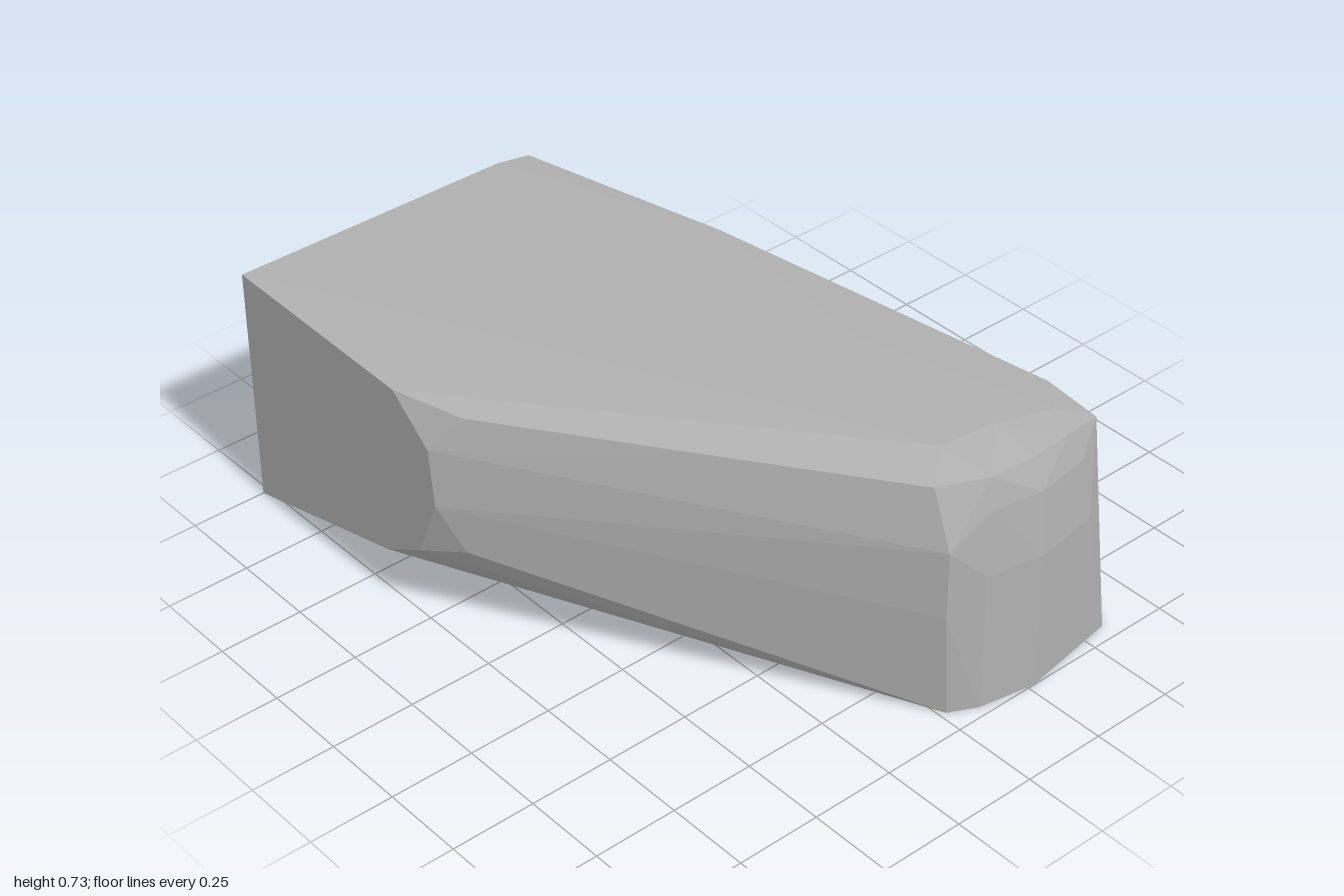
import * as THREE from 'three';
import { ConvexGeometry } from 'three/addons/geometries/ConvexGeometry.js';

export function createModel() {
  const group = new THREE.Group();
  const stone = new THREE.MeshStandardMaterial({ color: 0xb0b0b0 });
  stone.name = 'stone grey';

  const points = [];
  const add = (...list) => list.forEach(p => points.push(new THREE.Vector3(...p)));
  // ring of [x, z] corners at one height
  const level = (y, corners) => corners.forEach(([x, z]) => add([x, y, z]));

  // flat base outline
  level(0, [[-0.77, -1], [0.39, -1], [0.77, -0.6], [0.77, -0.28], [0.69, 0.65],
    [0.66, 0.83], [0.58, 0.95], [0.27, 1], [0.1, 0.97], [0.02, 0.93]]);

  // rounded nose, from mid height to the lip
  level(0.43, [[0.1, 0.97], [0.27, 1], [0.47, 0.97]]);
  level(0.62, [[0.03, 0.91], [0.12, 0.955], [0.27, 0.98], [0.44, 0.955]]);
  level(0.71, [[0.13, 0.935], [0.27, 0.945], [0.4, 0.935]]);
  add([0.53, 0.69, 0.91], [0.54, 0.7, 0.73], [0, 0.7, 0.865]);

  // flat top and its sloping right edge
  level(0.733, [[-0.77, -1], [0.1, -1], [0.27, 0.3], [0.27, 0.8], [0.1, 0.78]]);
  add([0.21, 0.715, -1], [0.36, 0.715, -0.35], [0.45, 0.715, 0.84]);

  // slanted left flank, undercut below and rounded above
  add([0, 0.53, 0.93], [0, 0.325, 0.93],
    [-0.72, 0.29, -0.11], [-0.7, 0.17, -0.22], [-0.71, 0.43, -0.09],
    [-0.7, 0.7, -0.13], [-0.35, 0.7, 0.37]);

  // left end face
  [[0.155, -0.4], [0.24, -0.25], [0.43, -0.17], [0.6, -0.19], [0.715, -0.33]]
    .forEach(([y, z]) => add([-0.77, y, z]));

  const block = new THREE.Mesh(new ConvexGeometry(points), stone);
  block.name = 'stoneBlock';
  group.add(block);
  return group;
}
